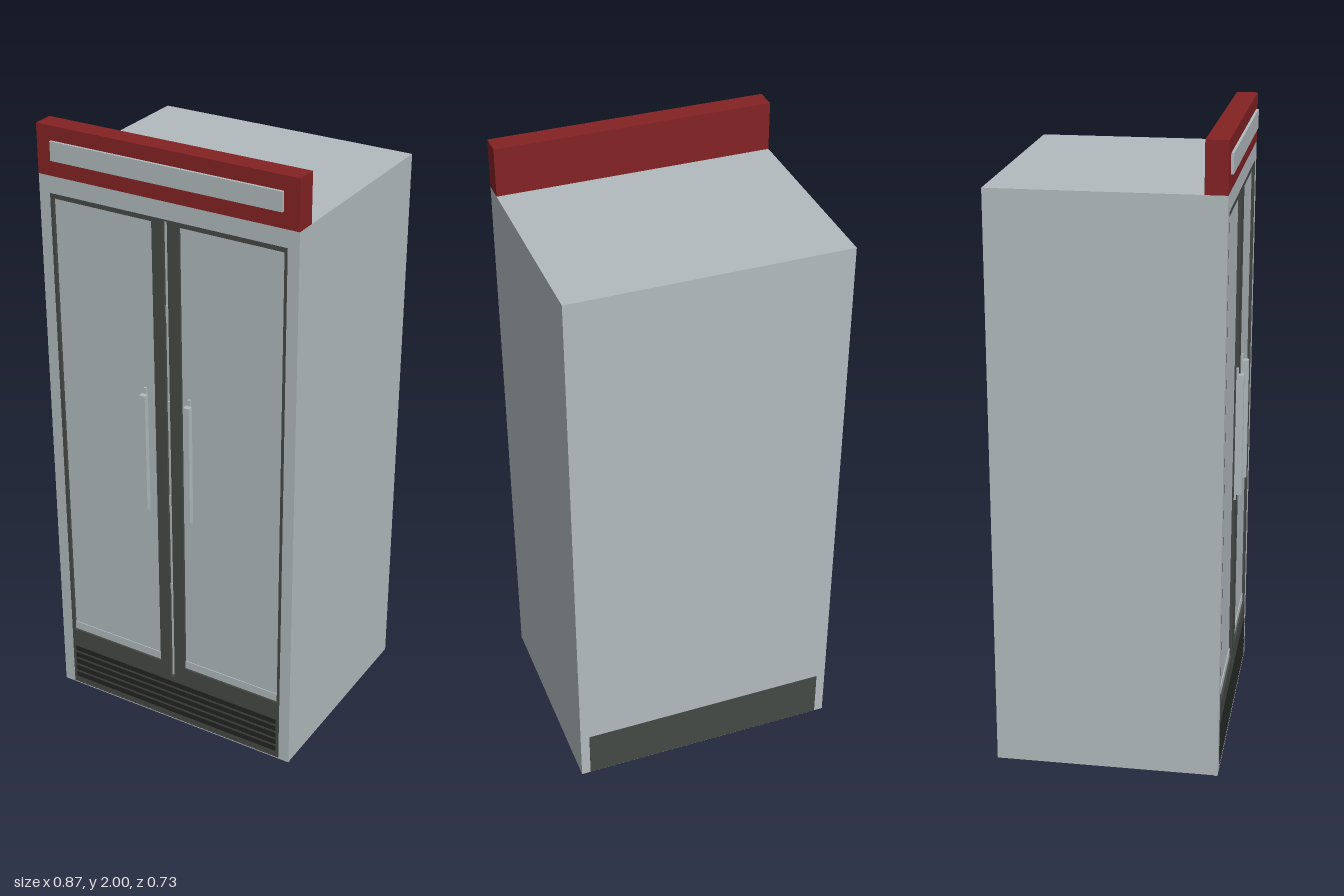
import * as THREE from 'three';

const mat = (name, color) => {
  const m = new THREE.MeshStandardMaterial({ color });
  m.name = name;
  return m;
};

export function createModel() {
  const model = new THREE.Group();
  model.name = 'displayFridge';
  const steel = mat('pale steel', 0xb2bbbe);
  const dark = mat('dark trim', 0x454944);
  const black = mat('grille black', 0x222422);
  const red = mat('sign red', 0x832224);

  const add = (name, geo, material) => {
    const m = new THREE.Mesh(geo, material);
    m.name = name;
    model.add(m);
    return m;
  };
  // Box given by its limits on each axis
  const box = (name, material, x0, x1, y0, y1, z0, z1) => {
    const m = add(name, new THREE.BoxGeometry(x1 - x0, y1 - y0, z1 - z0), material);
    m.position.set((x0 + x1) / 2, (y0 + y1) / 2, (z0 + z1) / 2);
    return m;
  };
  const rect = (P, x0, x1, y0, y1) => new P([
    new THREE.Vector2(x0, y0), new THREE.Vector2(x1, y0),
    new THREE.Vector2(x1, y1), new THREE.Vector2(x0, y1),
  ]);
  // Flat panel with rectangular openings
  const panel = (name, material, outer, holes, z0, z1) => {
    const shape = rect(THREE.Shape, ...outer);
    holes.forEach((h) => shape.holes.push(rect(THREE.Path, ...h)));
    const geo = new THREE.ExtrudeGeometry(shape, { depth: z1 - z0, bevelEnabled: false });
    add(name, geo, material).position.z = z0;
  };

  // Cabinet and its front border
  box('cabinet', steel, -0.437, 0.437, 0.002, 1.845, -0.364, 0.332);
  panel('frontBorder', steel, [-0.437, 0.437, 0, 1.845], [[-0.4, 0.4, 0.003, 1.79]], 0.332, 0.342);

  // Dark door frame around two glass openings and a centre gap
  panel('doorFrame', dark, [-0.4, 0.4, 0.003, 1.79],
    [[-0.39, -0.046, 0.222, 1.775], [0.046, 0.39, 0.222, 1.775], [-0.007, 0.007, 0.175, 1.785]],
    0.332, 0.3415);

  // Dark underside and rear kick panel
  box('underside', dark, -0.407, 0.407, 0, 0.003, -0.335, 0.315);
  box('rearKickPanel', dark, -0.407, 0.407, 0.004, 0.167, -0.3655, -0.363);

  // Ventilation slots
  for (let i = 0; i < 5; i++) {
    const y = 0.028 + i * 0.027;
    box('grilleSlot', black, -0.388, 0.388, y, y + 0.018, 0.34, 0.3435);
  }

  // Doors: lower shelf rail, handle and its end tabs, centre hinges
  for (const s of [-1, 1]) {
    box('shelfRail', steel, s * 0.218 - 0.172, s * 0.218 + 0.172, 0.222, 0.25, 0.331, 0.335);
    box('handle', steel, s * 0.078 - 0.01, s * 0.078 + 0.01, 0.812, 1.21, 0.347, 0.365);
    box('handleMount', steel, s * 0.078 - 0.004, s * 0.078 + 0.004, 0.792, 1.23, 0.341, 0.348);
  }
  for (const y of [0.52, 0.85, 1.18, 1.5]) {
    box('gapClip', steel, -0.006, 0.006, y - 0.018, y + 0.018, 0.331, 0.336);
  }

  // Header sign
  box('header', red, -0.437, 0.437, 1.845, 2, 0.275, 0.3425);
  box('headerPanel', steel, -0.386, 0.386, 1.895, 1.955, 0.342, 0.351);

  return model;
}
